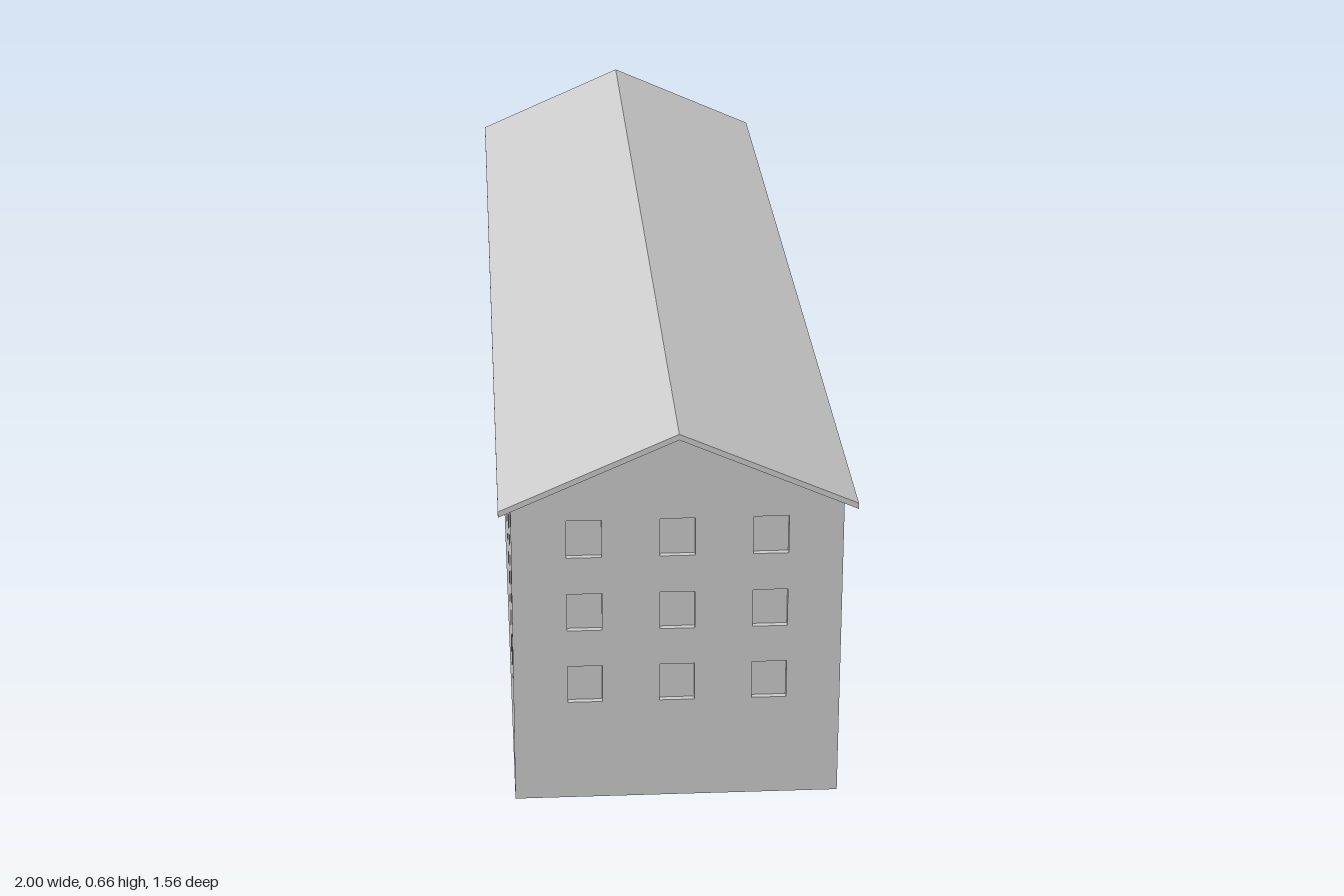
import * as THREE from 'three';
import { mergeGeometries } from 'three/addons/utils/BufferGeometryUtils.js';

const LENGTH = 1.96, WIDTH = 0.536;          // wall footprint
const ROOF_LENGTH = 2.003, ROOF_HALF = 0.288; // roof with overhang
const EAVE = 0.535, RIDGE = 0.662, THICK = 0.01;
const WALL_TOP = 0.532, GABLE_TOP = RIDGE - THICK;
const OPENING_W = 0.057, WINDOW_H = 0.066, RECESS = 0.01;
const ROWS = [0.211, 0.342, 0.473];           // window centre heights

const material = new THREE.MeshStandardMaterial({
  color: 0xcccccc, flatShading: true, side: THREE.DoubleSide,
});

// Window and door rectangles for one wall
function openings(columns, spacing, doors) {
  const list = [];
  for (let i = 0; i < columns; i++) {
    const x = (i - (columns - 1) / 2) * spacing;
    ROWS.forEach((y, row) => {
      const isDoor = row === 0 && doors.includes(i);
      list.push(isDoor ? { x, y: 0.187, h: 0.106, isDoor } : { x, y, h: WINDOW_H, isDoor });
    });
  }
  return list;
}

// Shallow niche: a box without its front face
function niche({ x, y, h }) {
  const g = new THREE.BoxGeometry(OPENING_W, h, RECESS);
  const index = Array.from(g.index.array);
  index.splice(24, 6);
  g.setIndex(index);
  g.clearGroups();
  return g.translate(x, y, -RECESS / 2);
}

// Wall panel in its own plane, facing +z, with recessed openings
function buildWall(name, outline, list) {
  const wall = new THREE.Group();
  wall.name = name;
  const shape = new THREE.Shape(outline.map(([x, y]) => new THREE.Vector2(x, y)));
  for (const { x, y, h } of list) {
    const a = OPENING_W / 2, b = h / 2;
    shape.holes.push(new THREE.Path([
      new THREE.Vector2(x - a, y - b), new THREE.Vector2(x - a, y + b),
      new THREE.Vector2(x + a, y + b), new THREE.Vector2(x + a, y - b),
    ]));
  }
  const add = (part, geometry) => {
    const mesh = new THREE.Mesh(geometry, material);
    mesh.name = part;
    wall.add(mesh);
  };
  add('wallPanel', new THREE.ShapeGeometry(shape));
  add('windows', mergeGeometries(list.filter(o => !o.isDoor).map(niche)));
  const doors = list.filter(o => o.isDoor);
  if (doors.length) add('doors', mergeGeometries(doors.map(niche)));
  return wall;
}

// Pitched roof slab with its section across the building
function buildRoof() {
  const section = new THREE.Shape([
    [-ROOF_HALF, EAVE - THICK], [0, RIDGE - THICK], [ROOF_HALF, EAVE - THICK],
    [ROOF_HALF, EAVE], [0, RIDGE], [-ROOF_HALF, EAVE],
  ].map(([x, y]) => new THREE.Vector2(x, y)));
  const g = new THREE.ExtrudeGeometry(section, { depth: ROOF_LENGTH, bevelEnabled: false });
  g.translate(0, 0, -ROOF_LENGTH / 2).rotateY(Math.PI / 2);
  const roof = new THREE.Mesh(g, material);
  roof.name = 'roof';
  return roof;
}

export function createModel() {
  const building = new THREE.Group();
  building.name = 'building';

  const l = LENGTH / 2, w = WIDTH / 2;
  const longOutline = [[-l, 0], [l, 0], [l, WALL_TOP], [-l, WALL_TOP]];
  const gableOutline = [[-w, 0], [w, 0], [w, WALL_TOP], [0, GABLE_TOP], [-w, WALL_TOP]];

  // Each half turn repeats one long wall and one gable wall
  ['front', 'back'].forEach((side, i) => {
    const wall = buildWall(side + 'Wall', longOutline, openings(14, 0.1345, [2, 7, 12]));
    wall.rotation.y = i * Math.PI;
    wall.position.z = i ? -w : w;
    building.add(wall);
  });
  ['left', 'right'].forEach((side, i) => {
    const wall = buildWall(side + 'Gable', gableOutline, openings(3, 0.151, []));
    wall.rotation.y = Math.PI / 2 + i * Math.PI;
    wall.position.x = i ? -l : l;
    building.add(wall);
  });
  building.add(buildRoof());

  // The block stands at an angle on its plot
  building.rotation.y = -THREE.MathUtils.degToRad(32.46);

  const model = new THREE.Group();
  model.name = 'apartmentBlock';
  model.add(building);
  return model;
}
